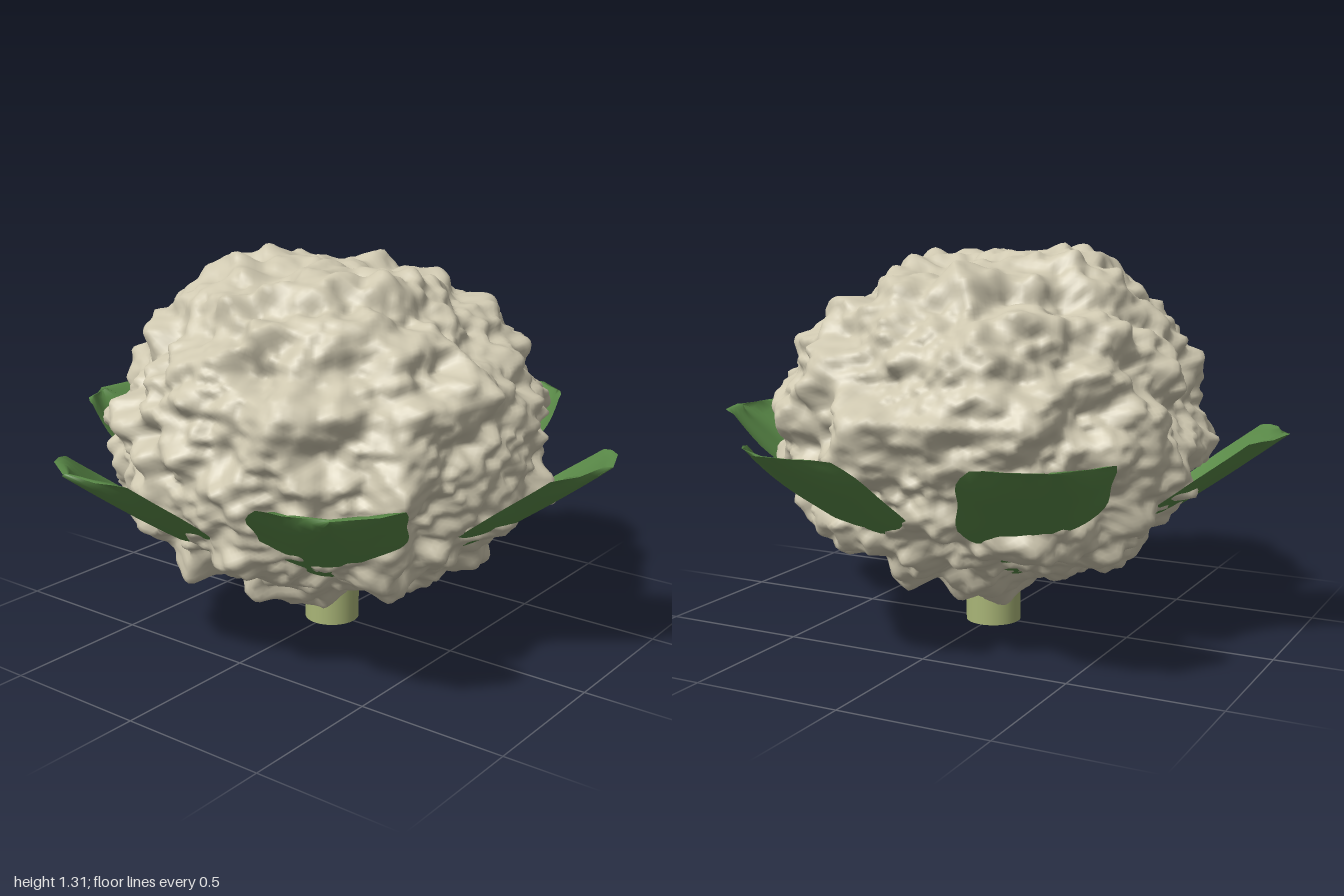
import * as THREE from 'three';
import { mergeVertices } from 'three/addons/utils/BufferGeometryUtils.js';

const headMat = new THREE.MeshStandardMaterial({ color: 0xcfc8b0 });
headMat.name = 'cream curd';
const leafMat = new THREE.MeshStandardMaterial({ color: 0x5a8a48, side: THREE.DoubleSide });
leafMat.name = 'leaf green';
const stemMat = new THREE.MeshStandardMaterial({ color: 0xa9b577 });
stemMat.name = 'pale stem green';

// Smooth lattice noise in 0..1
function hash(x, y, z) {
  let h = Math.imul(x, 374761393) ^ Math.imul(y, 668265263) ^ Math.imul(z, 2147483647 - 1274126177);
  h = Math.imul(h ^ (h >>> 13), 1274126177);
  h = Math.imul(h ^ (h >>> 15), 2246822519);
  return ((h ^ (h >>> 16)) >>> 0) / 4294967296;
}
function noise(x, y, z) {
  const c = [x, y, z].map(Math.floor);
  const f = [x - c[0], y - c[1], z - c[2]].map((t) => t * t * (3 - 2 * t));
  let sum = 0;
  for (let i = 0; i < 8; i++) {
    const b = [i & 1, (i >> 1) & 1, i >> 2];
    const w = b.reduce((p, bit, k) => p * (bit ? f[k] : 1 - f[k]), 1);
    sum += w * hash(c[0] + b[0], c[1] + b[1], c[2] + b[2]);
  }
  return sum;
}

// Knobbly ellipsoid: broad florets with finer curds on top
function createHead() {
  let geo = new THREE.IcosahedronGeometry(1, 54);
  geo.deleteAttribute('uv');
  geo.deleteAttribute('normal');
  geo = mergeVertices(geo, 1e-5);
  const pos = geo.attributes.position;
  const v = new THREE.Vector3();
  for (let i = 0; i < pos.count; i++) {
    v.fromBufferAttribute(pos, i).normalize();
    const at = (s, o) => noise(v.x * s + o, v.y * s + o, v.z * s + o) - 0.5;
    const swell = 1.01 + 0.22 * at(4.3, 7.3) + 0.13 * at(9, 21.7) + 0.05 * at(20, 3.1);
    pos.setXYZ(i, v.x * 0.705 * swell, 0.705 + v.y * 0.555 * swell, v.z * 0.705 * swell);
  }
  geo.computeVertexNormals();
  const head = new THREE.Mesh(geo, headMat);
  head.name = 'head';
  return head;
}

// Cupped leaf running outward along +x from the stem, with a level upper rim
function createLeaf(angle, seed) {
  const rows = 28, cols = 16;
  const geo = new THREE.PlaneGeometry(1, 1, cols, rows);
  const pos = geo.attributes.position;
  for (let i = 0; i < pos.count; i++) {
    const t = Math.min(1, Math.max(0, pos.getY(i) + 0.5));
    const s = pos.getX(i) * 2;
    // Narrow stalk, broad blade, rounded end
    const blade = THREE.MathUtils.smoothstep(t, 0.1, 0.75);
    const round = Math.sqrt(Math.max(0, 1 - Math.pow(Math.max(0, (t - 0.74) / 0.26), 2.8)));
    const ripple = 1 + 0.05 * Math.sin(t * 21 + seed * 2 + s);
    const width = (0.06 + 0.175 * blade) * round * ripple;
    const r = 0.07 + 0.92 * t + 0.012 * Math.sin(s * 5 + seed) * t;
    const y = 0.145 + 0.56 * t + 0.075 * s * s * blade - 0.05 * Math.sin(Math.PI * t);
    pos.setXYZ(i, r, Math.min(y, 0.71), s * width);
  }
  geo.computeVertexNormals();
  const leaf = new THREE.Mesh(geo, leafMat);
  leaf.name = 'leaf';
  leaf.rotation.y = -THREE.MathUtils.degToRad(angle);
  return leaf;
}

export function createModel() {
  const model = new THREE.Group();
  model.name = 'cauliflower';
  model.add(createHead());

  // Ring of leaves, angles measured from +x towards +z
  const leaves = new THREE.Group();
  leaves.name = 'leaves';
  [-7, 53, 107, 172, 234, 287].forEach((a, i) => leaves.add(createLeaf(a, i)));
  model.add(leaves);

  // Stem
  const stem = new THREE.Mesh(new THREE.CylinderGeometry(0.095, 0.095, 0.3, 32), stemMat);
  stem.name = 'stem';
  stem.position.y = 0.15;
  model.add(stem);
  return model;
}
